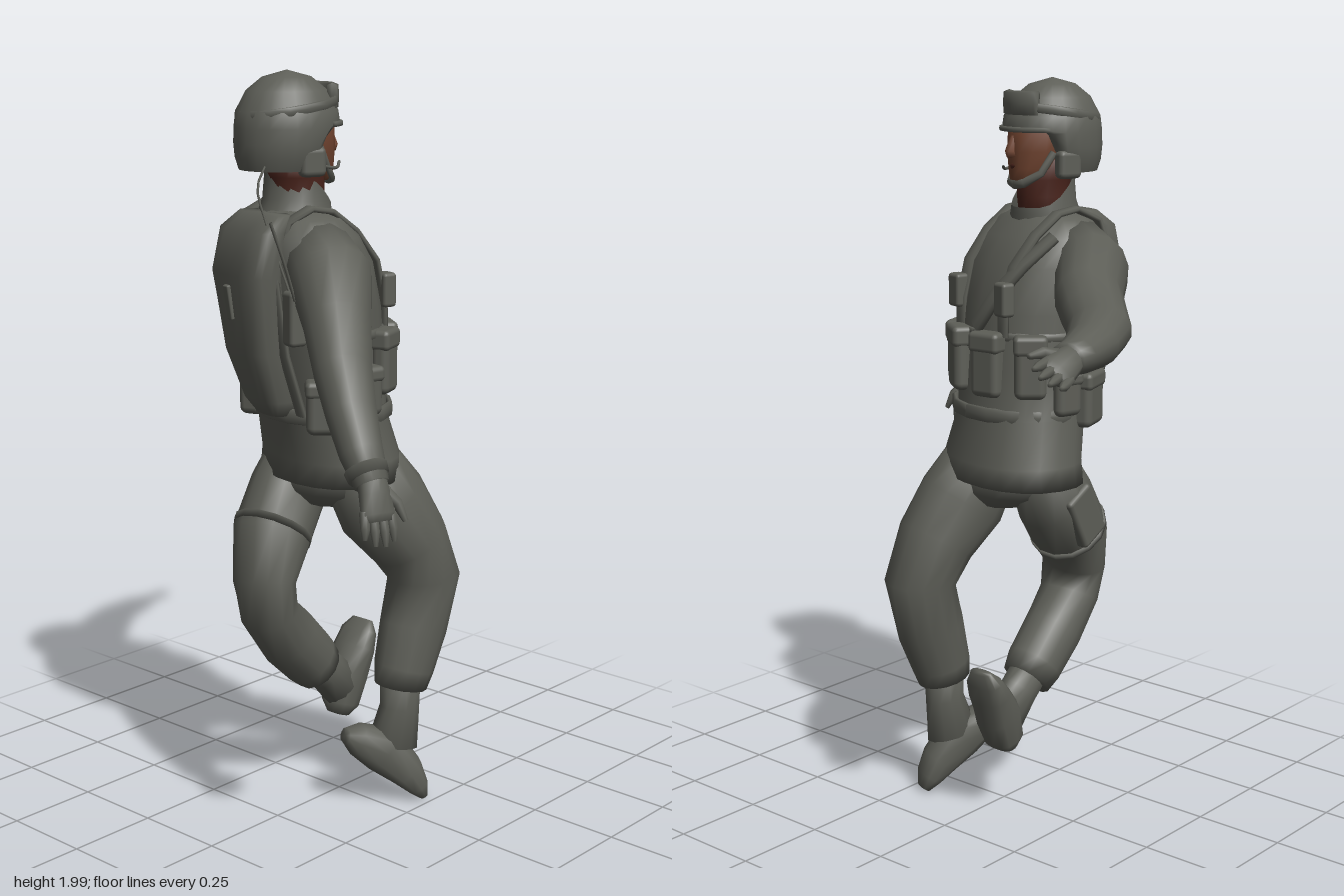
import * as THREE from 'three';
import { RoundedBoxGeometry } from 'three/addons/geometries/RoundedBoxGeometry.js';

const V = (x, y, z) => new THREE.Vector3(x, y, z);
const UP = V(0, 1, 0);
const X = V(1, 0, 0);
const YAW = -0.27;
const SIDE = X.clone().applyAxisAngle(UP, YAW);
const { smoothstep } = THREE.MathUtils;

export function createModel() {
  const fabric = new THREE.MeshStandardMaterial({ color: 0x5d5e57, side: THREE.DoubleSide });
  fabric.name = 'grey fabric';
  const skin = new THREE.MeshStandardMaterial({ color: 0x70432f });
  skin.name = 'brown skin';
  const neckSkin = new THREE.MeshStandardMaterial({ color: 0x4a241c });
  neckSkin.name = 'dark neck skin';
  const model = new THREE.Group();
  model.name = 'soldier';

  const add = (parent, name, geo, mat = fabric) => {
    const mesh = new THREE.Mesh(geo, mat);
    mesh.name = name;
    parent.add(mesh);
    return mesh;
  };

  // Skin oval sections [x, y, z, radius along ref, other radius]; opts: n sides, e boxiness, level rings, warp rule
  const loft = (rows, ref, opts = {}) => {
    const { n = 12, e = 1, level = false, warp, caps = true } = opts;
    const c = rows.map((r) => V(r[0], r[1], r[2]));
    const pos = [], idx = [];
    const pw = (k) => Math.sign(k) * Math.pow(Math.abs(k), e);
    rows.forEach((r, i) => {
      const t = level ? UP.clone()
        : c[Math.min(i + 1, c.length - 1)].clone().sub(c[Math.max(i - 1, 0)]).normalize();
      const v = t.clone().cross(ref).normalize();
      const u = v.clone().cross(t);
      for (let j = 0; j < n; j++) {
        const a = (j / n) * Math.PI * 2;
        const p = c[i].clone().addScaledVector(u, pw(Math.cos(a)) * r[3]).addScaledVector(v, pw(Math.sin(a)) * r[4]);
        if (warp) warp(p);
        pos.push(p.x, p.y, p.z);
        if (i < rows.length - 1) {
          const k = (j + 1) % n, A = i * n + j, B = i * n + k;
          idx.push(A, B, B + n, A, B + n, A + n);
        }
      }
    });
    if (caps) {
      const last = (rows.length - 1) * n, s = rows.length * n;
      pos.push(...c[0].toArray(), ...c[c.length - 1].toArray());
      for (let j = 0; j < n; j++) {
        const k = (j + 1) % n;
        idx.push(s, k, j, s + 1, last + j, last + k);
      }
    }
    const g = new THREE.BufferGeometry();
    g.setAttribute('position', new THREE.Float32BufferAttribute(pos, 3));
    g.setIndex(idx);
    g.computeVertexNormals();
    return g;
  };

  // Band along an oval arc; angle 0 is straight ahead (-z)
  const arcBand = (cx, y, cz, rx, rz, a0, a1, h, t, tilt = 0) => {
    const rows = [];
    for (let i = 0; i <= 16; i++) {
      const a = a0 + ((a1 - a0) * i) / 16;
      rows.push([cx + Math.sin(a) * rx, y + tilt * Math.cos(a), cz - Math.cos(a) * rz, h, t]);
    }
    return loft(rows, UP, { n: 8, e: 0.5 });
  };
  const strap = (parent, name, pts, w, t) =>
    add(parent, name, loft(pts.map((p) => [...p, w, t]), X, { n: 8, e: 0.5 }));

  // Jacket with a flared hem, and hips
  add(model, 'jacket', loft([
    [0, 0.94, 0.04, 0.224, 0.16], [0, 1.0, 0.035, 0.218, 0.16], [0, 1.12, 0.07, 0.19, 0.155],
    [0, 1.25, 0.09, 0.19, 0.165], [0, 1.4, 0.12, 0.2, 0.175], [0, 1.52, 0.145, 0.205, 0.165],
    [0, 1.59, 0.165, 0.19, 0.14], [0, 1.635, 0.17, 0.14, 0.105], [-0.01, 1.655, 0.165, 0.075, 0.08],
  ], SIDE, { n: 20, e: 0.9, level: true }));
  add(model, 'hips', loft([
    [0.02, 0.86, 0.04, 0.07, 0.08], [0.01, 0.9, 0.04, 0.15, 0.12], [0, 0.98, 0.04, 0.19, 0.14],
  ], SIDE, { level: true }));
  add(model, 'collar', loft([
    [-0.01, 1.63, 0.16, 0.095, 0.1], [-0.012, 1.68, 0.148, 0.084, 0.09], [-0.012, 1.75, 0.145, 0.08, 0.086],
  ], SIDE, { n: 18, level: true, caps: false, warp: (p) => {
    if (p.y > 1.7) p.y -= 0.085 * (1 - smoothstep(p.z, 0.07, 0.21));
    else if (p.y > 1.65) p.y -= 0.03 * (1 - smoothstep(p.z, 0.07, 0.21));
  } }));

  // Arms
  add(model, 'rightArm', loft([
    [-0.1, 1.53, 0.17, 0.11, 0.1], [-0.2, 1.495, 0.118, 0.12, 0.1], [-0.285, 1.455, 0.0, 0.09, 0.088],
    [-0.365, 1.43, -0.08, 0.075, 0.084], [-0.432, 1.41, -0.145, 0.068, 0.08], [-0.49, 1.395, -0.25, 0.058, 0.067],
    [-0.515, 1.385, -0.34, 0.045, 0.053], [-0.52, 1.383, -0.38, 0.04, 0.048],
  ], UP, { n: 14 }));
  add(model, 'leftArm', loft([
    [0.1, 1.54, 0.195, 0.1, 0.1], [0.18, 1.5, 0.23, 0.105, 0.107], [0.265, 1.405, 0.3, 0.085, 0.088],
    [0.345, 1.305, 0.367, 0.072, 0.078], [0.41, 1.22, 0.41, 0.062, 0.066], [0.47, 1.14, 0.442, 0.053, 0.053],
    [0.515, 1.075, 0.455, 0.042, 0.042],
  ], V(0.7, 0.3, -0.6), { n: 14 }));

  // Hands: local y runs along the fingers, local x toward the thumb
  const hand = (name, wrist, tip, thumb) => {
    const g = new THREE.Group();
    g.name = name;
    const y = tip.clone().sub(wrist).normalize();
    const x = thumb.clone().addScaledVector(y, -thumb.dot(y)).normalize();
    g.applyMatrix4(new THREE.Matrix4().makeBasis(x, y, x.clone().cross(y)));
    g.position.copy(wrist);
    add(g, 'palm', loft([[0, -0.02, 0, 0.034, 0.03], [0, 0.03, 0, 0.04, 0.028], [0, 0.08, 0, 0.046, 0.021],
      [0, 0.098, 0, 0.04, 0.012]], X));
    [-0.034, -0.012, 0.011, 0.033].forEach((fx, i) => {
      const len = [0.05, 0.068, 0.072, 0.062][i];
      add(g, 'finger', loft([[fx, 0.07, 0, 0.013, 0.013], [fx * 1.1, 0.085 + len * 0.5, 0.004, 0.012, 0.012],
        [fx * 1.15, 0.085 + len, 0.012, 0.006, 0.006]], X, { n: 7 }));
    });
    add(g, 'thumb', loft([[0.02, 0.02, 0, 0.019, 0.017], [0.056, 0.06, 0, 0.014, 0.014],
      [0.07, 0.105, 0, 0.007, 0.007]], X, { n: 7 }));
    model.add(g);
  };
  hand('rightHand', V(-0.525, 1.385, -0.37), V(-0.56, 1.345, -0.53), V(0.75, 0.65, 0));
  hand('leftHand', V(0.515, 1.085, 0.455), V(0.572, 0.93, 0.475), V(0.35, 0, -1));
  add(model, 'wristBand', loft([[0.49, 1.11, 0.45, 0.053, 0.053], [0.505, 1.09, 0.455, 0.05, 0.05]], UP));

  // Trousers
  add(model, 'leftLeg', loft([
    [0.1, 0.98, 0.04, 0.09, 0.11], [0.135, 0.86, -0.02, 0.108, 0.13], [0.172, 0.75, -0.09, 0.107, 0.11],
    [0.178, 0.64, -0.148, 0.097, 0.1], [0.176, 0.5, -0.108, 0.083, 0.098], [0.175, 0.39, -0.07, 0.078, 0.085],
    [0.172, 0.34, -0.06, 0.068, 0.075],
  ], SIDE, { n: 14 }));
  add(model, 'rightLeg', loft([
    [-0.095, 0.98, 0.04, 0.085, 0.1], [-0.1, 0.88, 0.095, 0.098, 0.115], [-0.083, 0.77, 0.18, 0.108, 0.107],
    [-0.053, 0.66, 0.24, 0.098, 0.067], [-0.052, 0.57, 0.222, 0.088, 0.074], [-0.056, 0.48, 0.145, 0.082, 0.087],
    [-0.055, 0.4, 0.065, 0.08, 0.082], [-0.055, 0.365, 0.03, 0.068, 0.074],
  ], X, { n: 14 }));

  // Boots: a shaft into the cuff and a foot from heel to toe
  const boot = (name, shaft, foot, ref) => {
    const g = new THREE.Group();
    g.name = name;
    add(g, 'bootShaft', loft(shaft, ref));
    add(g, 'bootFoot', loft(foot, ref, { e: 0.8 }));
    model.add(g);
  };
  boot('leftBoot', [[0.172, 0.37, -0.06, 0.048, 0.058], [0.17, 0.28, -0.06, 0.048, 0.056],
    [0.162, 0.17, -0.04, 0.05, 0.074]],
  [[0.1, 0.215, 0.085, 0.03, 0.02], [0.115, 0.2, 0.055, 0.046, 0.045], [0.15, 0.16, -0.015, 0.05, 0.068],
    [0.185, 0.09, -0.07, 0.052, 0.05], [0.2, 0.045, -0.095, 0.048, 0.033], [0.208, 0.012, -0.112, 0.03, 0.014]],
  V(1, 0, 0.5));
  boot('rightBoot', [[-0.055, 0.4, 0.06, 0.052, 0.058], [-0.058, 0.34, -0.01, 0.05, 0.06],
    [-0.06, 0.28, -0.07, 0.05, 0.065]],
  [[-0.06, 0.195, -0.06, 0.032, 0.025], [-0.06, 0.225, -0.07, 0.05, 0.052], [-0.063, 0.3, -0.098, 0.056, 0.062],
    [-0.067, 0.37, -0.137, 0.062, 0.044], [-0.07, 0.415, -0.162, 0.057, 0.03], [-0.07, 0.445, -0.178, 0.035, 0.012]],
  X);

  // Thigh holster
  const holster = add(model, 'thighHolster', new RoundedBoxGeometry(0.04, 0.16, 0.1, 2, 0.012));
  holster.position.set(-0.18, 0.84, 0.12);
  holster.rotation.x = -0.5;
  add(model, 'thighStrap', loft([[-0.087, 0.79, 0.165, 0.109, 0.111], [-0.084, 0.775, 0.177, 0.109, 0.111]], X, { n: 14 }));

  // Head
  const head = new THREE.Group();
  head.name = 'head';
  head.position.set(-0.01, 0, 0.185);
  head.rotation.y = -0.3;
  model.add(head);
  add(head, 'neck', loft([[0, 1.61, -0.02, 0.068, 0.07], [0, 1.69, -0.028, 0.066, 0.072], [0, 1.735, -0.025, 0.07, 0.074],
    [0, 1.79, -0.012, 0.08, 0.075]], X, { n: 16, level: true }), neckSkin);
  add(head, 'face', loft([
    [0, 1.722, -0.09, 0.028, 0.022], [0, 1.735, -0.08, 0.047, 0.045], [0, 1.765, -0.055, 0.066, 0.072],
    [0, 1.81, -0.03, 0.08, 0.1], [0, 1.86, -0.025, 0.083, 0.102], [0, 1.93, -0.01, 0.07, 0.085],
  ], X, { n: 16, level: true }), skin);
  add(head, 'nose', loft([[0, 1.85, -0.122, 0.008, 0.008], [0, 1.81, -0.13, 0.014, 0.018], [0, 1.797, -0.126, 0.016, 0.014]], X, { n: 8 }), skin);
  add(head, 'lips', loft([[-0.022, 1.772, -0.114, 0.004, 0.005], [0, 1.772, -0.124, 0.009, 0.007], [0.022, 1.772, -0.114, 0.004, 0.005]], UP, { n: 8 }), neckSkin);

  // Helmet: full dome tucked in at the nape, rim raised above the face
  add(head, 'helmet', loft([
    [0, 1.755, 0.015, 0.104, 0.112], [0, 1.785, 0.01, 0.117, 0.126], [0, 1.82, 0.005, 0.123, 0.134],
    [0, 1.86, 0, 0.124, 0.138], [0, 1.9, 0, 0.119, 0.133], [0, 1.95, 0, 0.093, 0.106],
    [0, 1.983, 0, 0.056, 0.064], [0, 2.0, 0, 0, 0],
  ], X, { n: 24, level: true, caps: false, warp: (p) => {
    p.y = Math.max(p.y, 1.755 + 0.11 * smoothstep(-p.z, 0.02, 0.07));
  } }));
  add(head, 'helmetBrim', arcBand(0, 1.868, 0, 0.124, 0.138, -1.0, 1.0, 0.007, 0.007));
  add(head, 'goggles', arcBand(0, 1.935, 0, 0.104, 0.122, -0.75, 0.75, 0.033, 0.014));
  add(head, 'goggleStrap', arcBand(0, 1.91, 0, 0.116, 0.129, 0, Math.PI * 2, 0.012, 0.005, 0.02));
  for (const s of [-1, 1]) {
    const cup = add(head, 'earCup', new RoundedBoxGeometry(0.04, 0.075, 0.07, 2, 0.015));
    cup.position.set(s * 0.1, 1.778, -0.015);
    add(head, 'chinStrap', loft([[s * 0.085, 1.81, -0.05, 0.01, 0.006], [s * 0.07, 1.755, -0.08, 0.01, 0.006],
      [s * 0.035, 1.728, -0.112, 0.012, 0.007], [0, 1.724, -0.12, 0.014, 0.007]], UP, { n: 8 }));
  }
  const wire = (parent, name, pts, r) => add(parent, name,
    new THREE.TubeGeometry(new THREE.CatmullRomCurve3(pts.map((p) => V(...p))), 12, r, 6));
  wire(head, 'microphone', [[0.1, 1.77, -0.03], [0.08, 1.758, -0.095], [0.03, 1.768, -0.135]], 0.004);

  // Load-carrying gear, in the turned frame of the chest
  const gear = new THREE.Group();
  gear.name = 'gear';
  gear.position.z = 0.12;
  gear.rotation.y = YAW;
  model.add(gear);
  add(gear, 'backpack', loft([
    [0.02, 1.13, 0.11, 0.06, 0.04], [0.02, 1.17, 0.125, 0.08, 0.055], [0.02, 1.3, 0.165, 0.1, 0.062],
    [0.02, 1.5, 0.195, 0.124, 0.057], [0.02, 1.61, 0.175, 0.122, 0.05], [0.02, 1.65, 0.14, 0.1, 0.035],
  ], X, { n: 20, e: 0.7, level: true }));
  const tab = add(gear, 'packTab', new RoundedBoxGeometry(0.025, 0.09, 0.016, 1, 0.004));
  tab.position.set(0.02, 1.43, 0.244);
  tab.rotation.x = 0.15;
  add(gear, 'belt', arcBand(0, 1.13, -0.045, 0.198, 0.166, 0, Math.PI * 2, 0.02, 0.008));
  add(gear, 'chestBand', arcBand(0, 1.34, -0.015, 0.198, 0.174, 0, Math.PI * 2, 0.012, 0.006));

  // Pouches around the waist: [angle from front, height, width, tall, deep]
  [[-1.0, 1.265, 0.085, 0.17, 0.05], [-0.34, 1.265, 0.09, 0.175, 0.05], [0.36, 1.265, 0.09, 0.175, 0.05],
    [0.97, 1.265, 0.085, 0.17, 0.05], [1.5, 1.2, 0.09, 0.13, 0.05],
    [2.1, 1.165, 0.11, 0.14, 0.07], [-1.6, 1.19, 0.08, 0.12, 0.045], [-2.15, 1.165, 0.11, 0.15, 0.07],
  ].forEach(([a, y, w, h, d]) => {
    const g = new THREE.Group();
    g.name = 'pouch';
    add(g, 'pouchBody', new RoundedBoxGeometry(w, h, d, 3, 0.02));
    add(g, 'pouchFlap', new RoundedBoxGeometry(w + 0.006, h * 0.32, d + 0.008, 2, 0.014)).position.y = h * 0.34;
    g.position.set(Math.sin(a) * 0.2, y, -0.035 - Math.cos(a) * 0.166);
    g.rotation.y = Math.PI - a;
    gear.add(g);
  });

  // Shoulder straps, sling, radio and aerial
  for (const s of [-1, 1]) {
    strap(gear, 'shoulderStrap', [[0.1 * s, 1.34, -0.165], [0.1 * s, 1.42, -0.163], [0.105 * s, 1.52, -0.135],
      [0.11 * s, 1.6, -0.07], [0.11 * s, 1.652, 0.0], [0.11 * s, 1.662, 0.06], [0.11 * s, 1.63, 0.13],
      [0.12 * s, 1.5, 0.175], [0.13 * s, 1.3, 0.15], [0.13 * s, 1.14, 0.1]], 0.02, 0.008);
    const clip = add(gear, 'strapPouch', new RoundedBoxGeometry(0.05, 0.09, 0.04, 2, 0.01));
    clip.position.set(0.11 * s, 1.44, -0.168);
  }
  strap(gear, 'sling', [[-0.16, 1.6, -0.045], [-0.13, 1.53, -0.12], [-0.08, 1.45, -0.172], [-0.02, 1.36, -0.195]], 0.022, 0.012);
  const radio = add(gear, 'radio', new RoundedBoxGeometry(0.05, 0.14, 0.05, 2, 0.012));
  radio.position.set(0.165, 1.4, 0.14);
  wire(gear, 'aerial', [[0.2, 1.45, 0.16], [0.215, 1.55, 0.2], [0.22, 1.65, 0.24]], 0.004);
  wire(gear, 'headsetCable', [[0.07, 1.78, 0.16], [0.09, 1.72, 0.2], [0.11, 1.64, 0.19], [0.16, 1.46, 0.15]], 0.003);
  return model;
}
